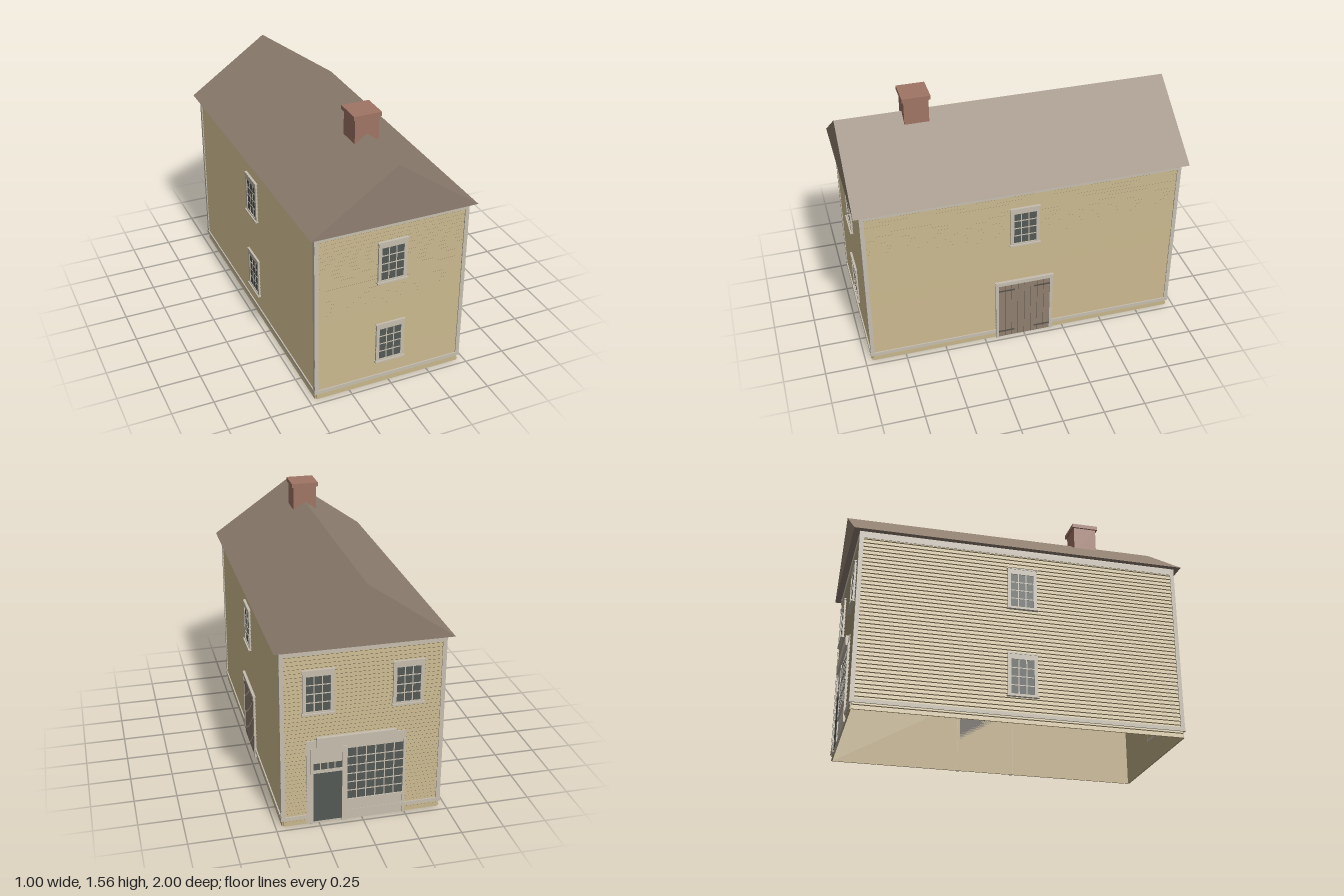
import * as THREE from 'three';

const mat = (name, color) => {
  const m = new THREE.MeshStandardMaterial({ color });
  m.name = name;
  return m;
};

export function createModel() {
  const siding = mat('siding tan', 0xbbaa83);
  const trim = mat('trim cream', 0xc6beaf);
  const roofing = mat('roof brown', 0x8f7f70);
  const brick = mat('brick red', 0xa07565);
  const glass = mat('glass grey', 0x545955);
  const wood = mat('door brown', 0x8f8071);
  const iron = mat('iron dark', 0x5a534b);

  const house = new THREE.Group();
  house.name = 'house';

  // Box given by its limits on each axis
  function box(parent, name, material, x0, x1, y0, y1, z0, z1) {
    const mesh = new THREE.Mesh(new THREE.BoxGeometry(x1 - x0, y1 - y0, z1 - z0), material);
    mesh.position.set((x0 + x1) / 2, (y0 + y1) / 2, (z0 + z1) / 2);
    mesh.name = name;
    parent.add(mesh);
    return mesh;
  }

  const EAVE = 1.09, ROWS = 45;

  // Clapboard wall: saw-tooth profile pulled along the width, flat inside
  function clapboards(width) {
    const shape = new THREE.Shape();
    const pitch = EAVE / ROWS;
    shape.moveTo(0, 0);
    for (let i = 0; i < ROWS; i++) {
      const y = i * pitch;
      if (i === 0) shape.lineTo(0.009, 0);
      else shape.lineTo(0.009, y + 0.004);
      shape.lineTo(0.004, y + pitch);
    }
    shape.lineTo(0, EAVE);
    const geo = new THREE.ExtrudeGeometry(shape, { depth: width, bevelEnabled: false });
    geo.translate(0, 0, -width / 2);
    geo.rotateY(-Math.PI / 2);
    return geo;
  }

  // Wall group: local +z points outward, local x runs along the wall
  function wall(name, angle, distance, width) {
    const g = new THREE.Group();
    g.name = name;
    g.rotation.y = angle;
    g.position.set(Math.sin(angle) * distance, 0, Math.cos(angle) * distance);
    house.add(g);
    const boards = new THREE.Mesh(clapboards(width), siding);
    boards.name = 'clapboards';
    g.add(boards);
    const h = width / 2 + 0.012;
    for (const s of [-1, 1]) {
      const a = s * h, b = s * (h - 0.024);
      box(g, 'cornerBoard', trim, Math.min(a, b), Math.max(a, b), 0.04, EAVE, 0.001, 0.0125);
    }
    box(g, 'frieze', trim, -h, h, 1.05, EAVE, 0.001, 0.012);
    box(g, 'waterTable', trim, -h - 0.002, h + 0.002, 0.038, 0.06, 0.001, 0.0145);
    return g;
  }

  // Glass with a grid of glazing bars
  function glazing(g, x0, x1, y0, y1, cols, rows, front) {
    box(g, 'glass', glass, x0, x1, y0, y1, front - 0.004, front);
    const t = 0.003, z = front + 0.002;
    for (let i = 1; i < cols; i++) {
      const x = x0 + (x1 - x0) * i / cols;
      box(g, 'glazingBar', trim, x - t, x + t, y0, y1, front - 0.002, z);
    }
    for (let j = 1; j < rows; j++) {
      const y = y0 + (y1 - y0) * j / rows;
      box(g, 'glazingBar', trim, x0, x1, y - t, y + t, front - 0.002, z);
    }
  }

  // Sash window with casing, head and sill
  function sashWindow(parent, x, y) {
    const g = new THREE.Group();
    g.name = 'window';
    g.position.set(x, y, 0);
    parent.add(g);
    glazing(g, -0.068, 0.068, 0.015, 0.225, 3, 4, 0.013);
    for (const s of [-1, 1]) {
      box(g, 'casing', trim, s * 0.078 - 0.010, s * 0.078 + 0.010, 0, 0.26, 0, 0.018);
    }
    box(g, 'headCasing', trim, -0.088, 0.088, 0.225, 0.26, 0, 0.018);
    box(g, 'headCap', trim, -0.092, 0.092, 0.256, 0.263, 0, 0.021);
    box(g, 'bottomRail', trim, -0.07, 0.07, 0, 0.015, 0, 0.018);
    box(g, 'sill', trim, -0.094, 0.094, -0.003, 0.006, 0, 0.027);
  }

  const front = wall('frontWall', 0, 0.952, 0.91);
  const right = wall('doorSideWall', Math.PI / 2, 0.455, 1.904);
  const back = wall('backWall', Math.PI, 0.952, 0.91);
  const left = wall('windowSideWall', -Math.PI / 2, 0.455, 1.904);

  for (const g of [front, left]) {
    sashWindow(g, 0, 0.70);
    sashWindow(g, 0, 0.157);
  }
  sashWindow(right, 0, 0.70);
  for (const x of [-0.254, 0.254]) sashWindow(back, x, 0.70);

  // Double barn door with planks and strap hinges
  const door = new THREE.Group();
  door.name = 'doubleDoor';
  right.add(door);
  box(door, 'doorBacking', iron, -0.163, 0.163, 0.003, 0.405, 0, 0.0145);
  for (const s of [-1, 1]) {
    box(door, 'doorCasing', trim, s * 0.171 - 0.009, s * 0.171 + 0.009, 0, 0.425, 0, 0.02);
    for (let i = 0; i < 4; i++) {
      const x = s * (0.0205 + i * 0.0408);
      box(door, 'plank', wood, x - 0.0192, x + 0.0192, 0.003, 0.403, 0.002, 0.0165);
    }
    for (const y of [0.045, 0.365]) {
      box(door, 'strapHinge', iron, s * 0.111 - 0.05, s * 0.111 + 0.05, y - 0.005, y + 0.005, 0.015, 0.0195);
    }
  }
  box(door, 'doorHead', trim, -0.18, 0.18, 0.405, 0.425, 0, 0.02);
  box(door, 'doorCap', trim, -0.184, 0.184, 0.423, 0.432, 0, 0.023);

  // Shop front on the back wall
  const shop = new THREE.Group();
  shop.name = 'shopFront';
  back.add(shop);
  box(shop, 'shopPanel', trim, -0.322, 0.25, 0, 0.53, 0, 0.0125);
  box(shop, 'shopCornice', trim, -0.265, 0.19, 0.49, 0.55, 0, 0.028);
  box(shop, 'doorGlass', glass, -0.283, -0.118, 0.012, 0.325, 0.006, 0.0145);
  glazing(shop, -0.283, -0.118, 0.345, 0.385, 4, 1, 0.0145);
  glazing(shop, -0.088, 0.235, 0.135, 0.46, 6, 6, 0.0145);
  for (const [x0, x1] of [[-0.3, -0.283], [-0.118, -0.088], [0.235, 0.25]]) {
    box(shop, 'shopPost', trim, x0, x1, 0, 0.48, 0, 0.019);
  }
  box(shop, 'shopSill', trim, -0.09, 0.25, 0.122, 0.135, 0, 0.022);
  box(shop, 'transomBar', trim, -0.283, -0.118, 0.325, 0.345, 0, 0.018);

  // Solid gable roof
  const gable = new THREE.Shape();
  gable.moveTo(-0.5, EAVE);
  gable.lineTo(0.5, EAVE);
  gable.lineTo(0, 1.44);
  gable.closePath();
  const roofGeo = new THREE.ExtrudeGeometry(gable, { depth: 2, bevelEnabled: false });
  roofGeo.translate(0, 0, -1);
  const roof = new THREE.Mesh(roofGeo, roofing);
  roof.name = 'roof';
  house.add(roof);

  // Chimney astride the ridge
  box(house, 'chimney', brick, -0.073, 0.073, 1.36, 1.54, 0.462, 0.608);
  box(house, 'chimneyCap', brick, -0.084, 0.084, 1.537, 1.562, 0.451, 0.619);

  return house;
}
